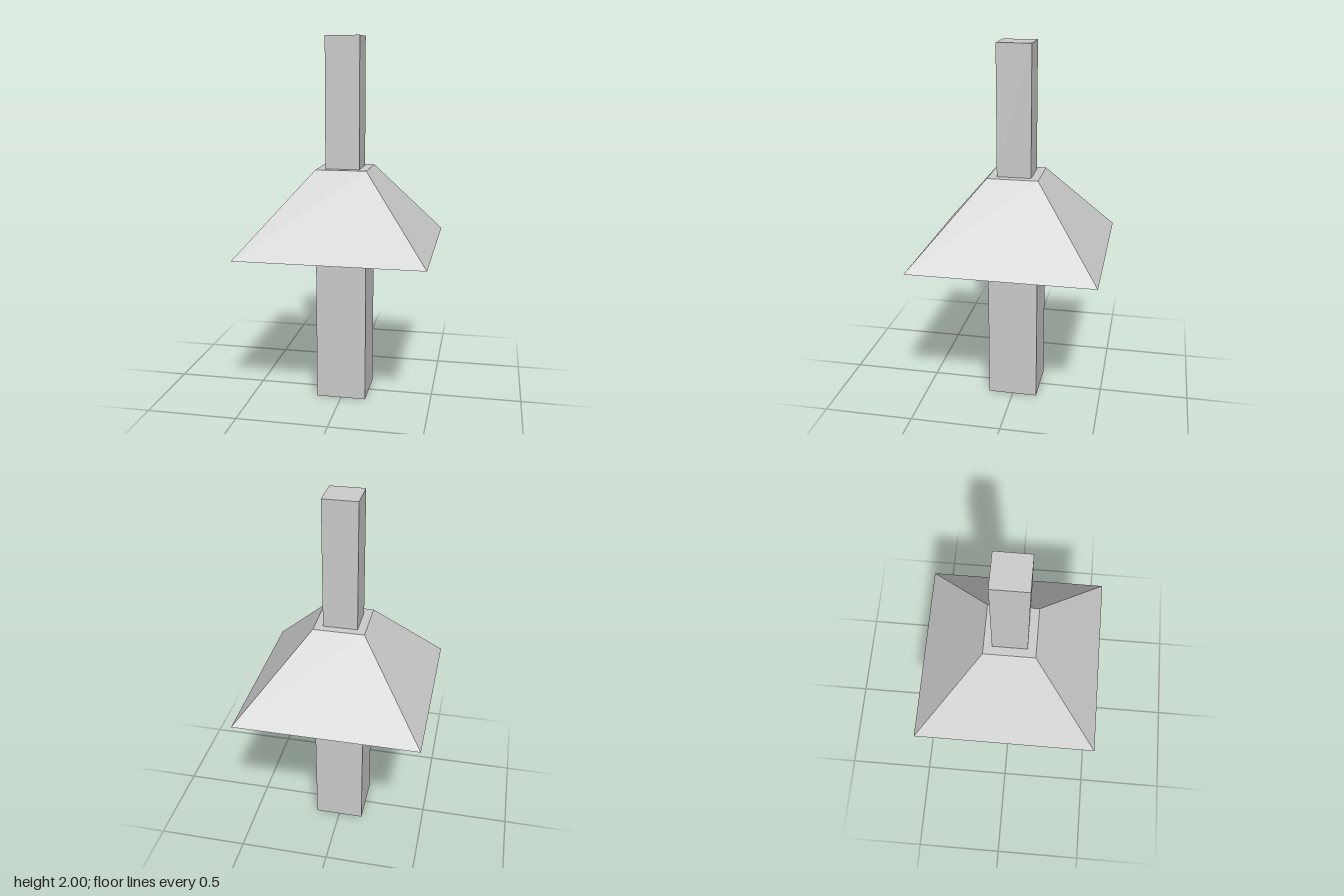
import * as THREE from 'three';

const material = new THREE.MeshStandardMaterial({ color: 0xcccccc, flatShading: true });

// Square section from y0 to y1, with half widths at the bottom and the top
function squareSection(name, y0, y1, halfBottom, halfTop) {
  const geometry = new THREE.CylinderGeometry(
    halfTop * Math.SQRT2, halfBottom * Math.SQRT2, y1 - y0, 4);
  geometry.rotateY(Math.PI / 4);
  geometry.translate(0, (y0 + y1) / 2, 0);
  const mesh = new THREE.Mesh(geometry, material);
  mesh.name = name;
  return mesh;
}

export function createModel() {
  const model = new THREE.Group();
  model.name = 'hoodedPost';
  model.add(
    squareSection('lowerPost', 0, 0.867, 0.138, 0.138),
    squareSection('slopedHood', 0.867, 1.297, 0.5, 0.138),
    squareSection('upperPost', 1.297, 2, 0.093, 0.093),
  );
  return model;
}
